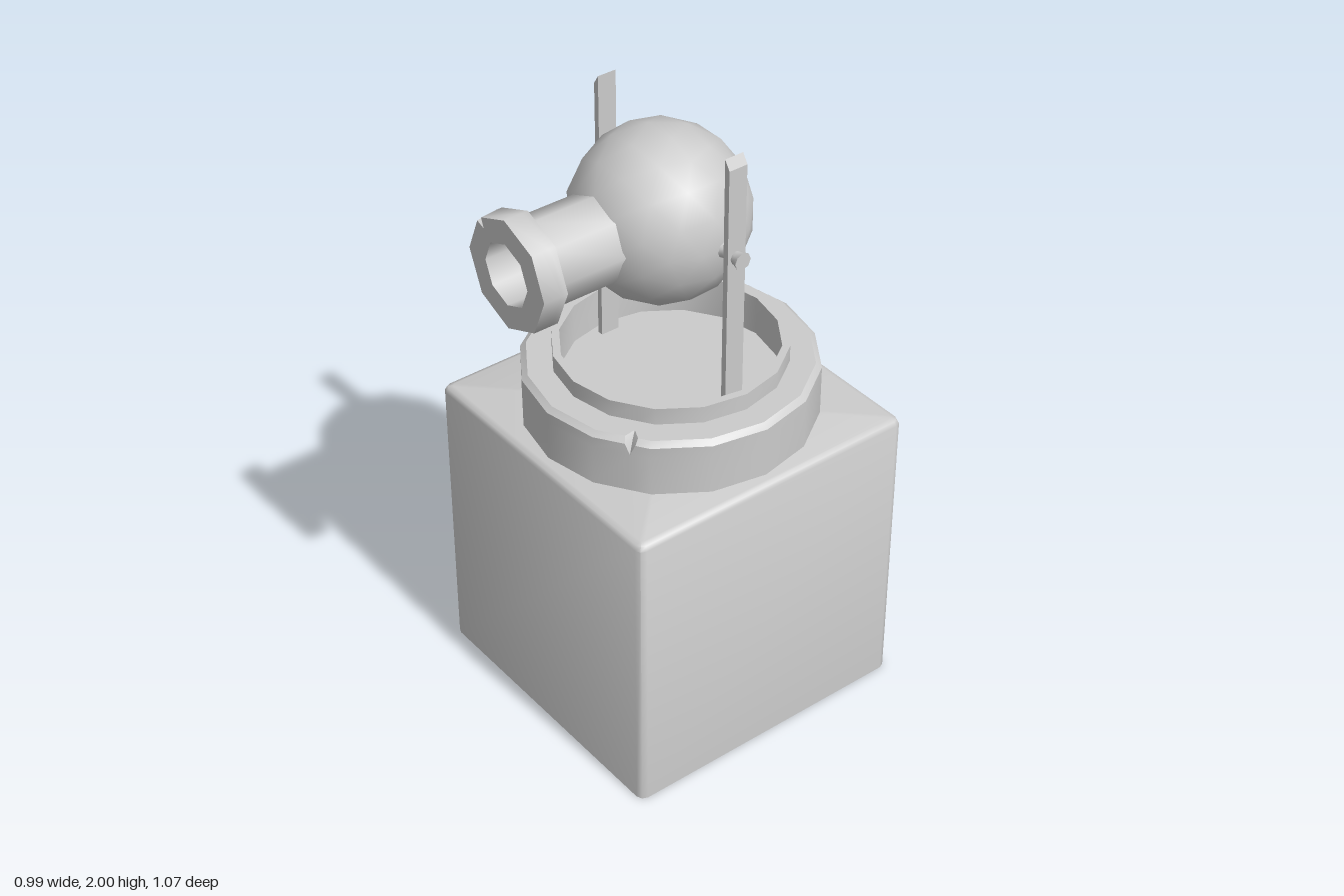
import * as THREE from 'three';
import { toCreasedNormals } from 'three/addons/utils/BufferGeometryUtils.js';

const material = new THREE.MeshStandardMaterial({ color: 0xcccccc, side: THREE.DoubleSide });

function part(name, geometry, parent) {
  const mesh = new THREE.Mesh(geometry, material);
  mesh.name = name;
  parent.add(mesh);
  return mesh;
}

// Skin between closed loops of points, listed upwards along y
function loft(loops, crease) {
  const out = [];
  const add = (...pts) => pts.forEach((p) => out.push(...p));
  for (let i = 0; i < loops.length - 1; i++) {
    const low = loops[i], high = loops[i + 1], n = low.length;
    for (let j = 0; j < n; j++) {
      const k = (j + 1) % n;
      add(low[j], high[j], low[k]);
      add(low[k], high[j], high[k]);
    }
  }
  const geometry = new THREE.BufferGeometry();
  geometry.setAttribute('position', new THREE.Float32BufferAttribute(out, 3));
  return toCreasedNormals(geometry, crease);
}

// Many-sided turned part with one V-shaped nick.
// Each profile entry: [radius, height, nick depth, nick width factor]
function turnedWithNick(profile, sides, nickAngle, nickWidth, crease) {
  const step = (Math.PI * 2) / sides;
  const angles = [];
  for (let i = 0; i < sides; i++) {
    if (Math.abs(i * step - nickAngle) > nickWidth) angles.push({ a: i * step, nick: 0, side: 0 });
  }
  for (const side of [-1, 0, 1]) {
    angles.push({ a: nickAngle, nick: side === 0 ? 1 : 0, side });
  }
  angles.sort((p, q) => p.a - q.a || p.side - q.side);
  const loops = profile.map(([radius, y, depth = 0, width = 0.05]) => angles.map(({ a, nick, side }) => {
    const t = a + side * nickWidth * width;
    const local = t - Math.floor(t / step) * step;
    const r = radius * Math.cos(step / 2) / Math.cos(local - step / 2) - depth * nick;
    return [r * Math.cos(t), y, r * Math.sin(t)];
  }));
  return loft(loops, crease);
}

// Square loop with rounded corners
function squareLoop(half, y, corner) {
  const loop = [];
  for (let q = 0; q < 4; q++) {
    const mid = Math.PI / 4 + q * Math.PI / 2;
    const cx = Math.sign(Math.cos(mid)) * (half - corner);
    const cz = Math.sign(Math.sin(mid)) * (half - corner);
    for (let s = 0; s <= 2; s++) {
      const a = q * Math.PI / 2 + s * Math.PI / 4;
      loop.push([cx + corner * Math.cos(a), y, cz + corner * Math.sin(a)]);
    }
  }
  return loop;
}

export function createModel() {
  const model = new THREE.Group();
  model.name = 'ballTurretOnPedestal';

  // Pedestal: bevelled block, open underneath
  const pedestal = part('pedestal', loft([
    squareLoop(0.496, 0, 0.025),
    squareLoop(0.496, 0.975, 0.025),
    squareLoop(0.489, 0.989, 0.02),
    squareLoop(0.473, 0.995, 0.012),
    squareLoop(0, 0.995, 0),
  ], 0.85), model);
  pedestal.position.z = -0.035;

  // Turntable: wide bevelled ring, raised rim and sunken floor
  const turntable = part('turntable', turnedWithNick([
    [0, 0.995], [0.453, 0.995], [0.453, 1.125],
    [0.453, 1.16, 0.03, 0.8], [0.435, 1.175, 0.035, 1],
    [0.357, 1.175], [0.357, 1.23], [0.333, 1.23], [0.333, 1.1], [0, 1.1],
  ], 16, 0.925, 0.045, 0.5), model);
  turntable.position.z = -0.035;

  // Two upright arms with tops that slope outwards, each with a pivot pin
  const armShape = new THREE.Shape([
    [0.287, 1.1], [0.306, 1.1], [0.306, 1.97], [0.287, 2],
  ].map(([x, y]) => new THREE.Vector2(x, y)));
  const armGeometry = new THREE.ExtrudeGeometry(armShape, { depth: 0.063, bevelEnabled: false });
  armGeometry.translate(0, 0, -0.0315);

  const pinProfile = [[0, 0.25], [0.028, 0.25], [0.022, 0.27], [0.022, 0.315], [0.028, 0.336], [0, 0.336]];
  const pinGeometry = toCreasedNormals(
    new THREE.LatheGeometry(pinProfile.map(([r, y]) => new THREE.Vector2(r, y)), 8).rotateZ(-Math.PI / 2), 0.85);

  for (const side of ['left', 'right']) {
    const support = new THREE.Group();
    support.name = side + 'Support';
    support.position.set(side === 'left' ? 0.004 : 0.006, 0, -0.025);
    support.rotation.y = side === 'left' ? 0 : Math.PI;
    if (side === 'right') support.position.x = 0.004;
    part(side + 'Arm', armGeometry, support);
    part(side + 'PivotPin', pinGeometry, support).position.set(-0.002, 1.68, 0);
    model.add(support);
  }

  // Ball head with its hollow eight-sided barrel
  const head = new THREE.Group();
  head.name = 'head';
  head.position.set(-0.005, 1.685, 0);
  model.add(head);
  part('ball', new THREE.IcosahedronGeometry(0.271, 2), head);
  const barrel = turnedWithNick([
    [0.137, 0.21], [0.137, 0.455], [0.178, 0.455], [0.178, 0.475],
    [0.178, 0.535, 0.035, 1], [0.1, 0.535], [0.1, 0.21],
  ], 8, Math.PI * 1.25, 0.08, 0.85);
  part('barrel', barrel.rotateX(Math.PI / 2), head);

  return model;
}
